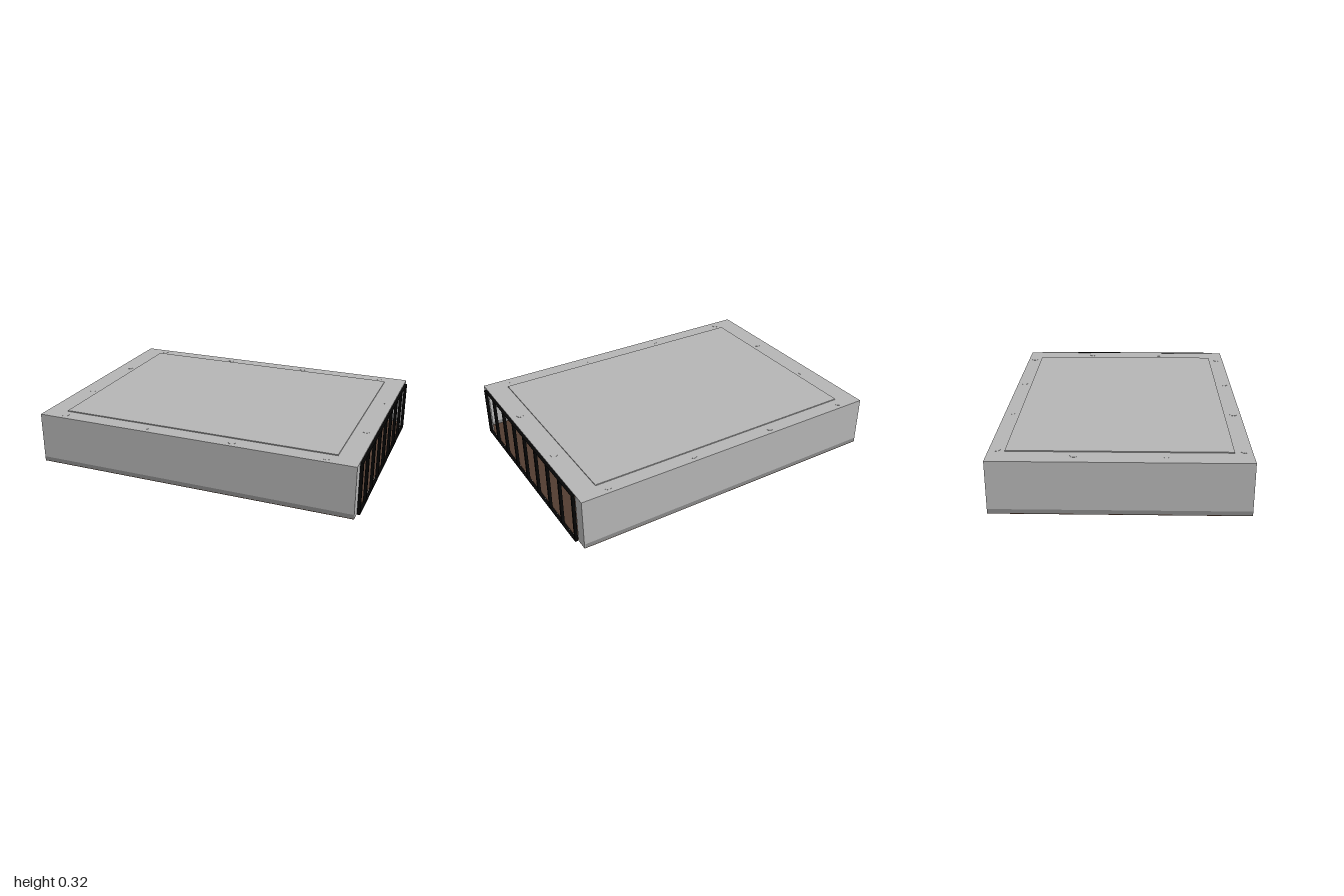
import * as THREE from 'three';

function material(name, color) {
  const m = new THREE.MeshStandardMaterial({ color });
  m.name = name;
  return m;
}

export function createModel() {
  const model = new THREE.Group();
  model.name = 'barredEnclosure';
  const grey = material('wall grey', 0xb5b5b5);
  const darkGrey = material('skirting grey', 0x898989);
  const brown = material('floor brown', 0x523d31);
  const black = material('bar black', 0x050505);

  // Box given by its minimum and maximum corners
  function box(name, mat, x0, x1, y0, y1, z0, z1) {
    const mesh = new THREE.Mesh(new THREE.BoxGeometry(x1 - x0, y1 - y0, z1 - z0), mat);
    mesh.position.set((x0 + x1) / 2, (y0 + y1) / 2, (z0 + z1) / 2);
    mesh.name = name;
    model.add(mesh);
  }

  const X0 = -1, X1 = 0.98, Z = 0.725, H = 0.315, T = 0.006, BAND = 0.028;

  // Floor and roof with its raised panel
  box('floor', brown, X0, X1, 0, 0.004, -Z, Z);
  box('roof', grey, X0, X1, H - T, H, -Z, Z);
  box('roofPanel', grey, -0.87, 0.85, H, 0.321, -0.632, 0.625);

  // Three closed walls, each with a darker skirting at its foot
  for (const [name, mat, y0, y1] of [
    ['Wall', grey, BAND, H - T],
    ['Skirting', darkGrey, 0.004, BAND],
  ]) {
    box('front' + name, mat, X0, X1 - T, y0, y1, Z - T, Z);
    box('back' + name, mat, X0, X1 - T, y0, y1, -Z, -Z + T);
    box('end' + name, mat, X0, X0 + T, y0, y1, -Z + T, Z - T);
  }

  // Corner posts beside the opening
  box('frontPost', grey, X1 - T, X1, 0.004, H - T, 0.655, Z);
  box('backPost', grey, X1 - T, X1, 0.004, H - T, -Z, -0.648);

  // Bars closing the open end, with slim rails
  for (const z of [0.66, 0.514, 0.35, 0.186, 0.022, -0.142, -0.307, -0.471, -0.642]) {
    box('bar', black, 0.982, 1, 0, H, z - 0.0065, z + 0.0065);
  }
  box('topRail', black, 0.982, 1, H - 0.004, H, -0.642, 0.66);
  box('bottomRail', black, 0.982, 1, 0, 0.004, -0.642, 0.66);

  // Studs around the roof rim: flush cap above, brown end below
  const studs = [];
  for (const z of [-0.68, 0.68]) for (const x of [-0.85, -0.3, 0.25, 0.8]) studs.push([x, z]);
  for (const x of [-0.92, 0.92]) for (const z of [-0.25, 0.25]) studs.push([x, z]);
  const capGeometry = new THREE.CylinderGeometry(0.021, 0.021, 0.002, 12);
  const endGeometry = new THREE.CylinderGeometry(0.021, 0.021, 0.01, 12);
  for (const [x, z] of studs) {
    const cap = new THREE.Mesh(capGeometry, grey);
    cap.position.set(x, H, z);
    cap.name = 'studCap';
    const end = new THREE.Mesh(endGeometry, brown);
    end.position.set(x, H - 0.0075, z);
    end.name = 'studEnd';
    model.add(cap, end);
  }
  return model;
}
